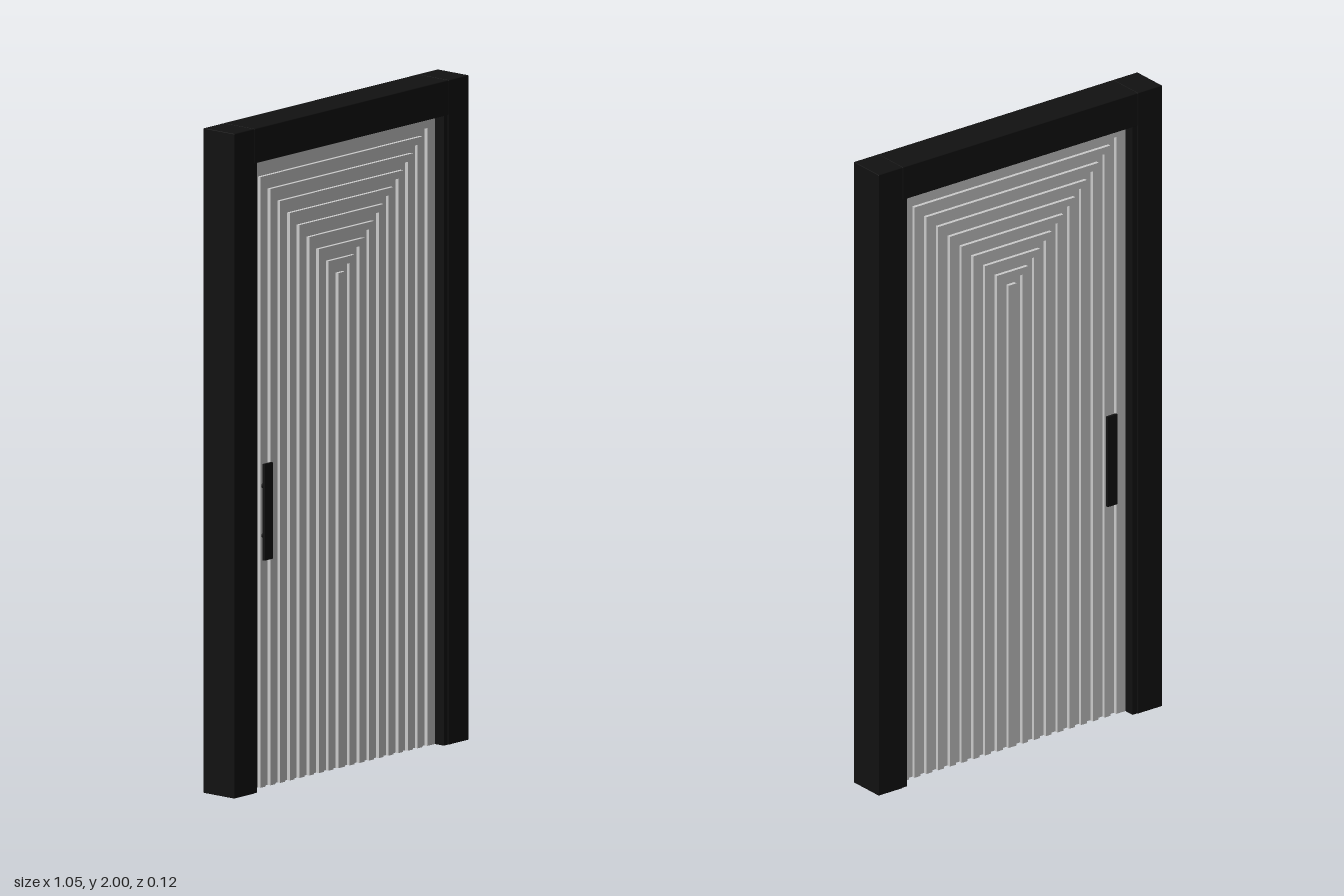
import * as THREE from 'three';
import { RoundedBoxGeometry } from 'three/addons/geometries/RoundedBoxGeometry.js';

const W = 0.42, TOP = 1.895;      // door half width and door height
const RIB = 0.022, CORE = 0.011;  // half depths of ribs and core panel

export function createModel() {
  const model = new THREE.Group();
  const black = new THREE.MeshStandardMaterial({ color: 0x111111 });
  const grey = new THREE.MeshStandardMaterial({ color: 0xcccccc });

  const add = (parent, name, geometry, material, x = 0, y = 0, z = 0) => {
    const mesh = new THREE.Mesh(geometry, material);
    mesh.name = name;
    mesh.position.set(x, y, z);
    parent.add(mesh);
    return mesh;
  };

  // Frame: two posts with inner stops, and a lintel between them
  const frame = new THREE.Group();
  frame.name = 'frame';
  model.add(frame);
  for (const s of [-1, 1]) {
    const side = s > 0 ? 'left' : 'right';
    add(frame, side + 'Post', new RoundedBoxGeometry(0.09, 2, 0.12, 1, 0.002), black, s * 0.48, 1);
    add(frame, side + 'Stop', new THREE.BoxGeometry(0.035, TOP, 0.113), black, s * 0.4355, TOP / 2);
  }
  add(frame, 'lintel', new RoundedBoxGeometry(0.87, 2 - TOP, 0.12, 1, 0.002), black, 0, (2 + TOP) / 2);

  // Door: thin core with nested, mitred arch ribs on both faces
  const door = new THREE.Group();
  door.name = 'door';
  model.add(door);
  add(door, 'corePanel', new THREE.BoxGeometry(W * 2, TOP, CORE * 2), grey, 0, TOP / 2);

  // Rib as an upside-down U between two insets from the door edge
  const addRib = (from, to) => {
    const xo = W - from, yo = TOP - from, xi = W - to, yi = TOP - to;
    const pts = [[-xo, 0], [-xi, 0], [-xi, yi], [xi, yi], [xi, 0], [xo, 0], [xo, yo], [-xo, yo]];
    const shape = new THREE.Shape(pts.map(([x, y]) => new THREE.Vector2(x, y)));
    const geometry = new THREE.ExtrudeGeometry(shape, { depth: RIB * 2, bevelEnabled: false });
    add(door, 'archRib', geometry, grey, 0, 0, -RIB);
  };
  addRib(0, 0.036);
  for (let i = 0; i < 8; i++) {
    const from = 0.0575 + i * 0.0435;
    addRib(from, from + 0.0218);
  }
  const middleTop = TOP - 0.4055;
  add(door, 'middleRib', new THREE.BoxGeometry(0.029, middleTop, RIB * 2), grey, 0, middleTop / 2);

  // Pull handles on both faces, each on two round standoffs
  for (const s of [-1, 1]) {
    const handle = new THREE.Group();
    handle.name = s > 0 ? 'frontHandle' : 'backHandle';
    handle.position.set(-0.353, 0.833, 0);
    model.add(handle);
    add(handle, 'bar', new THREE.BoxGeometry(0.036, 0.29, 0.008), black, 0, 0, s * 0.041);
    for (const y of [-0.075, 0.075]) {
      const post = add(handle, 'standoff', new THREE.CylinderGeometry(0.007, 0.007, 0.03, 16), black, 0, y, s * 0.025);
      post.rotation.x = Math.PI / 2;
    }
  }
  return model;
}
